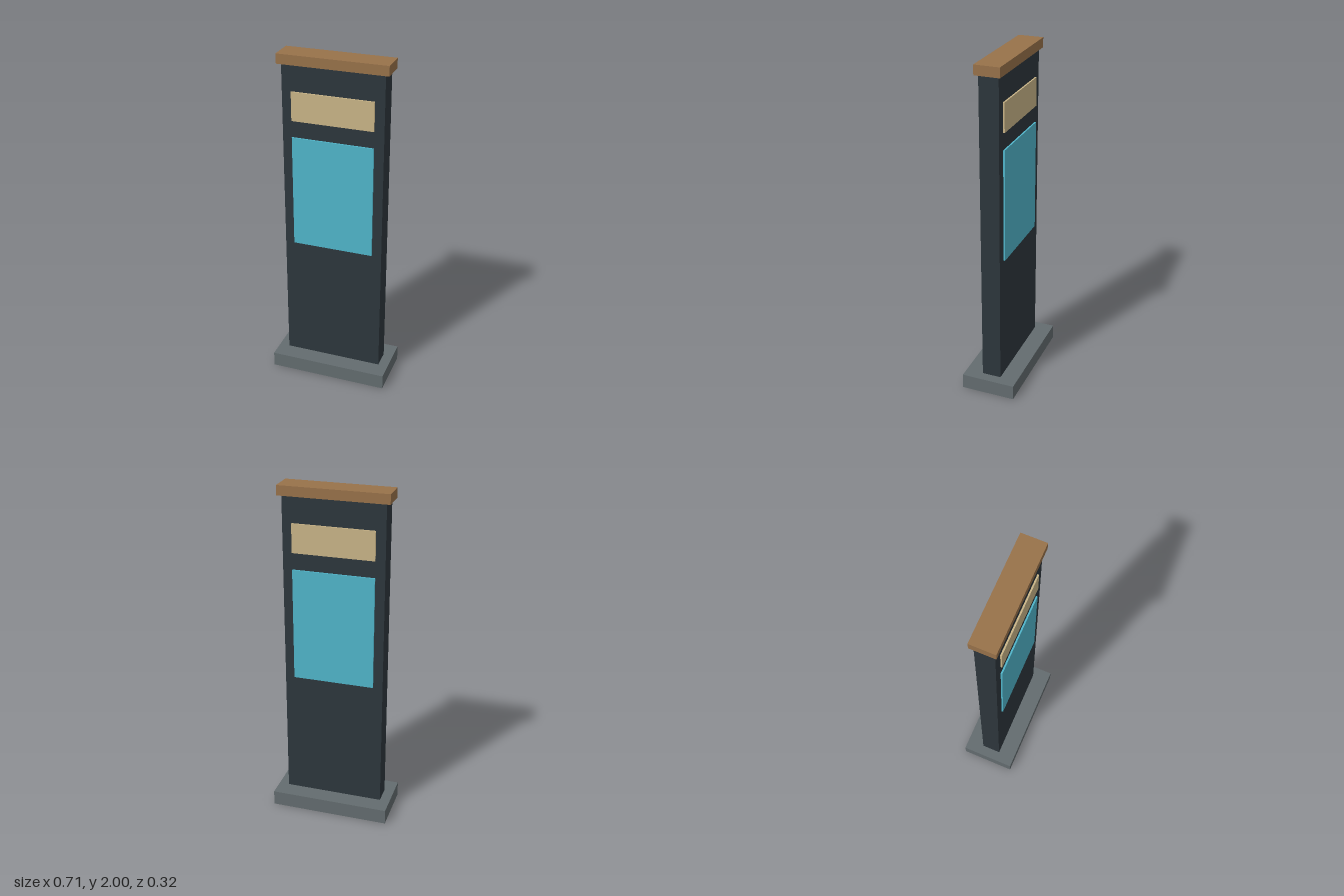
import * as THREE from 'three';

const material = (name, color) => {
  const m = new THREE.MeshStandardMaterial({ color });
  m.name = name;
  return m;
};

export function createModel() {
  const group = new THREE.Group();
  group.name = 'informationKiosk';

  const stone = material('stone grey', 0x636c6f);
  const charcoal = material('charcoal', 0x2d363c);
  const wood = material('warm wood', 0x98724a);
  const sand = material('sand', 0xc9b487);
  const cyan = material('screen cyan', 0x50b5ca);

  // Box spanning y0..y1, centred on x and around z
  const box = (name, mat, width, y0, y1, depth, z = 0) => {
    const mesh = new THREE.Mesh(new THREE.BoxGeometry(width, y1 - y0, depth), mat);
    mesh.name = name;
    mesh.position.set(0, (y0 + y1) / 2, z);
    group.add(mesh);
  };

  // Plinth, upright slab and cap
  box('base', stone, 0.71, 0, 0.09, 0.324);
  box('body', charcoal, 0.59, 0.09, 1.943, 0.114);
  box('cap', wood, 0.636, 1.943, 2, 0.147);

  // Header plate and screen on both faces
  for (const [side, s] of [['front', 1], ['back', -1]]) {
    box(side + 'HeaderPlate', sand, 0.478, 1.622, 1.791, 0.0095, s * 0.06175);
    box(side + 'Screen', cyan, 0.478, 0.855, 1.523, 0.0095, s * 0.06175);
  }

  return group;
}
